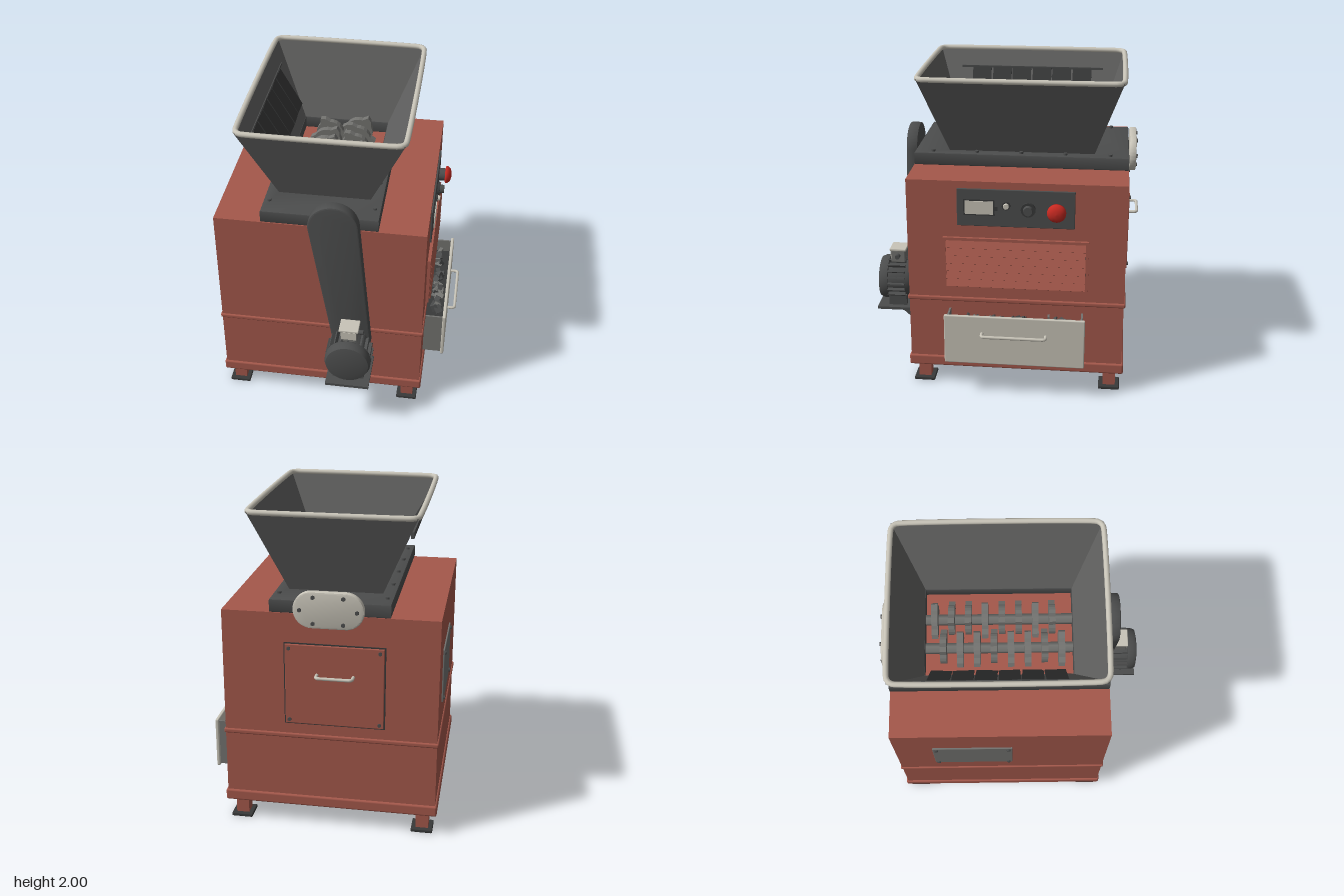
import * as THREE from 'three';
import { RoundedBoxGeometry } from 'three/addons/geometries/RoundedBoxGeometry.js';
import { toCreasedNormals } from 'three/addons/utils/BufferGeometryUtils.js';

const material = (name, color, side = THREE.FrontSide) => {
  const m = new THREE.MeshStandardMaterial({ color, side });
  m.name = name;
  return m;
};

export function createModel() {
  const red = material('painted red', 0xa4584b);
  const steel = material('hopper steel', 0x626261, THREE.DoubleSide);
  const dark = material('dark grey', 0x4c4d4d);
  const black = material('rubber black', 0x383939, THREE.DoubleSide);
  const mid = material('mid grey', 0x737370);
  const beige = material('pale metal', 0xc8c4b8);
  const signal = material('signal red', 0xc92a22);
  const model = new THREE.Group();
  const CX = -0.09, CZ = -0.105;

  const add = (name, geo, mat, x = 0, y = 0, z = 0) => {
    const mesh = new THREE.Mesh(geo, mat);
    mesh.name = name;
    mesh.position.set(x, y, z);
    model.add(mesh);
    return mesh;
  };
  // Box given by its limits, with optional rounded edges
  const box = (name, mat, x0, x1, y0, y1, z0, z1, round = 0) => {
    const s = [x1 - x0, y1 - y0, z1 - z0];
    const geo = round ? new RoundedBoxGeometry(...s, 2, round) : new THREE.BoxGeometry(...s);
    return add(name, geo, mat, (x0 + x1) / 2, (y0 + y1) / 2, (z0 + z1) / 2);
  };
  // Cylinder along an axis; r1 is the radius at the positive end
  const cyl = (name, mat, axis, r1, r0, h, x, y, z, sides = 24) => {
    const geo = new THREE.CylinderGeometry(r1, r0, h, sides);
    if (axis === 'x') geo.rotateZ(-Math.PI / 2);
    if (axis === 'z') geo.rotateX(Math.PI / 2);
    return add(name, geo, mat, x, y, z);
  };
  const extrude = (shape, depth, bevel = 0) => toCreasedNormals(new THREE.ExtrudeGeometry(shape, {
    depth: depth - 2 * bevel, bevelEnabled: bevel > 0, bevelThickness: bevel,
    bevelSize: bevel, bevelOffset: -bevel, bevelSegments: 2, curveSegments: 24,
  }).translate(0, 0, bevel), 0.6);
  // Outline around two circles
  const hull = (xa, ya, ra, xb, yb, rb) => {
    const d = Math.atan2(ya - yb, xa - xb);
    const a = Math.acos((rb - ra) / Math.hypot(xa - xb, ya - yb));
    return new THREE.Shape().absarc(xa, ya, ra, d - a, d + a, false)
      .absarc(xb, yb, rb, d + a, d - a + Math.PI * 2, false);
  };
  const handle = (name, mat, half, depth, r, x, y, z, turn) => {
    const c = Math.min(0.015, depth / 3);
    const pts = [[-half, 0], [-half, depth - c], [-half + c, depth], [half - c, depth], [half, depth - c], [half, 0]]
      .map(([u, v]) => new THREE.Vector3(u, 0, v));
    const curve = new THREE.CatmullRomCurve3(pts, false, 'catmullrom', 0.1);
    add(name, new THREE.TubeGeometry(curve, 48, r, 10), mat, x, y, z).rotation.y = turn;
  };

  // Cabinet, plinth and seam
  box('cabinet', red, -0.745, 0.565, 0.16, 1.4, -0.782, 0.575);
  box('plinth', red, -0.757, 0.577, 0.13, 0.2, -0.795, 0.587, 0.012);
  box('seamBand', red, -0.755, 0.575, 0.595, 0.625, -0.792, 0.585, 0.01);
  for (const x of [-0.665, 0.483]) for (const z of [-0.707, 0.497]) {
    box('leg', red, x - 0.04, x + 0.04, 0.02, 0.135, z - 0.04, z + 0.04);
    box('footPad', black, x - 0.067, x + 0.067, 0, 0.022, z - 0.067, z + 0.067, 0.006);
  }

  // Hopper flange with an opening
  const rect = (target, w, d) => target.moveTo(-w, -d).lineTo(w, -d).lineTo(w, d).lineTo(-w, d).lineTo(-w, -d);
  const flange = rect(new THREE.Shape(), 0.362, 0.678);
  flange.holes.push(rect(new THREE.Path(), 0.282, 0.458));
  add('hopperFlange', extrude(flange, 0.082, 0.008).rotateX(-Math.PI / 2), dark, CX, 1.4, CZ);
  for (const sx of [-1, 1]) for (let i = -2; i <= 2; i++) {
    cyl('flangeBolt', dark, 'y', 0.013, 0.013, 0.014, CX + sx * 0.325, 1.488, CZ + i * 0.28, 6);
  }

  // Hopper walls from two rectangular sections
  const corner = [[-1, 1], [1, 1], [1, -1], [-1, -1]];
  const walls = [];
  for (let i = 0; i < 4; i++) {
    const p = (k, w, d, y) => [corner[k % 4][0] * w, y, corner[k % 4][1] * d];
    const a = p(i, 0.282, 0.458, 1.47), b = p(i + 1, 0.282, 0.458, 1.47);
    const c = p(i + 1, 0.5, 0.63, 1.985), e = p(i, 0.5, 0.63, 1.985);
    walls.push(...a, ...b, ...c, ...a, ...c, ...e);
  }
  const hopperGeo = new THREE.BufferGeometry();
  hopperGeo.setAttribute('position', new THREE.Float32BufferAttribute(walls, 3));
  hopperGeo.computeVertexNormals();
  add('hopper', hopperGeo, steel, CX, 0, CZ);

  // Rolled rim
  const rim = [];
  corner.forEach(([sx, sz], i) => {
    for (let k = 0; k <= 4; k++) {
      const t = Math.PI / 2 - (i + 1) * Math.PI / 2 + Math.PI - k * Math.PI / 8;
      rim.push(new THREE.Vector3(sx * 0.45 + 0.05 * Math.cos(t), 0, sz * 0.58 + 0.05 * Math.sin(t)));
    }
  });
  add('hopperRim', new THREE.TubeGeometry(new THREE.CatmullRomCurve3(rim, true, 'centripetal'), 200, 0.017, 10, true),
    beige, CX, 1.983, CZ);

  // Splash curtain inside the hopper
  box('curtainBar', dark, -0.555, -0.535, 1.83, 1.87, -0.595, 0.375);
  for (let i = 0; i < 6; i++) {
    const flap = add('curtainFlap', new THREE.BoxGeometry(0.008, 0.29, 0.128), black, -0.464, 1.735, -0.452 + i * 0.137);
    flap.rotation.set(0, i % 2 ? 0.03 : -0.03, 0.52);
  }

  // Cutter shafts with hooked discs
  const disc = new THREE.Shape();
  for (let k = 0; k < 24; k++) {
    const r = k % 8 === 0 ? 0.126 : k % 8 === 7 ? 0.115 : 0.094, t = k * Math.PI / 12;
    disc[k ? 'lineTo' : 'moveTo'](r * Math.cos(t), r * Math.sin(t));
  }
  const discGeo = new THREE.ExtrudeGeometry(disc, { depth: 0.04, bevelEnabled: false });
  for (const [x, z0] of [[-0.185, -0.47], [0.005, -0.525]]) {
    cyl('cutterShaft', mid, 'z', 0.034, 0.034, 0.92, x, 1.44, CZ, 6);
    for (let i = 0; i < 8; i++) {
      const left = x < 0 ? i % 3 !== 0 : i % 3 === 0;
      add('cutterDisc', discGeo, mid, x, 1.44, z0 + i * 0.1045).rotation.z = left ? Math.PI : 0;
    }
  }

  // Belt guard
  add('beltGuard', extrude(hull(0.005, 1.445, 0.155, 0.12, 0.55, 0.122), 0.072, 0.01), dark, 0, 0, 0.574);

  // Motor with cooling fins, end bell and terminal box
  const MX = 0.12, MY = 0.545;
  const bell = [[0.06, 0.64], [0.115, 0.64], [0.125, 0.665], [0.125, 0.79], [0.146, 0.79], [0.146, 0.825], [0.135, 0.848], [0.1, 0.856], [0, 0.858]]
    .map(([r, z]) => new THREE.Vector2(r, z));
  add('motor', toCreasedNormals(new THREE.LatheGeometry(bell, 40).rotateX(Math.PI / 2).scale(1, 1, 1), 0.7), dark, MX, MY, 0);
  for (let i = 0; i < 20; i++) {
    const t = i * Math.PI / 10;
    const fin = add('coolingFin', new THREE.BoxGeometry(0.03, 0.01, 0.12), dark, MX + 0.134 * Math.cos(t), MY + 0.134 * Math.sin(t), 0.735);
    fin.rotation.z = t;
  }
  box('terminalBox', mid, 0.065, 0.175, 0.67, 0.755, 0.68, 0.775, 0.006);
  box('terminalLid', beige, 0.058, 0.182, 0.753, 0.77, 0.672, 0.783, 0.005);
  box('terminalFace', beige, 0.072, 0.168, 0.695, 0.75, 0.773, 0.779);
  cyl('cableGland', dark, 'x', 0.016, 0.016, 0.035, 0.19, 0.72, 0.727, 12);

  // Motor shelf and gussets
  box('motorShelf', dark, -0.02, 0.26, 0.36, 0.378, 0.57, 0.862);
  const gusset = new THREE.Shape().moveTo(0, 0).lineTo(0, -0.12).lineTo(-0.13, 0).lineTo(0, 0);
  for (const x of [0.005, 0.23]) {
    box('motorFoot', dark, x < 0.1 ? 0.02 : 0.18, x < 0.1 ? 0.06 : 0.22, 0.375, 0.45, 0.67, 0.79);
    add('shelfGusset', new THREE.ExtrudeGeometry(gusset, { depth: 0.012, bevelEnabled: false }).rotateY(Math.PI / 2),
      dark, x - 0.006, 0.362, 0.573);
  }

  // Control panel
  box('controlPanel', dark, 0.56, 0.576, 1.115, 1.355, -0.465, 0.26, 0.004);
  box('meterFrame', black, 0.57, 0.582, 1.188, 1.29, 0.025, 0.218);
  box('meterFace', beige, 0.58, 0.588, 1.197, 1.281, 0.035, 0.208);
  box('smallSwitch', black, 0.57, 0.588, 1.222, 1.248, 0.008, 0.024);
  cyl('lampRing', black, 'x', 0.026, 0.026, 0.016, 0.58, 1.255, -0.045);
  cyl('lamp', beige, 'x', 0.016, 0.021, 0.03, 0.588, 1.255, -0.045);
  cyl('knobCollar', black, 'x', 0.045, 0.045, 0.02, 0.583, 1.235, -0.18);
  cyl('knob', dark, 'x', 0.027, 0.032, 0.04, 0.6, 1.235, -0.18);
  cyl('stopCollar', dark, 'x', 0.042, 0.042, 0.05, 0.595, 1.235, -0.355);
  const cap = [[0.03, 0.612], [0.058, 0.618], [0.058, 0.63], [0.045, 0.648], [0.022, 0.656], [0, 0.658]]
    .map(([r, x]) => new THREE.Vector2(r, x));
  add('stopButton', new THREE.LatheGeometry(cap, 28).rotateZ(-Math.PI / 2), signal, 0, 1.235, -0.355);

  // Louvred vent
  box('ventBacking', black, 0.56, 0.569, 0.7, 1.025, -0.545, 0.34);
  for (const y of [0.69, 1.017]) box('ventFrame', red, 0.56, 0.585, y, y + 0.018, -0.555, 0.35);
  for (const z of [-0.555, 0.332]) box('ventFrame', red, 0.56, 0.585, 0.69, 1.035, z, z + 0.018);
  for (let i = 0; i < 6; i++) {
    add('louvre', new THREE.BoxGeometry(0.007, 0.055, 0.868), red, 0.582, 0.735 + i * 0.052, -0.1025).rotation.z = 0.5;
  }

  // Open collection drawer filled with scrap
  box('drawerFloor', mid, 0.56, 0.69, 0.24, 0.252, -0.53, 0.32);
  for (const z of [-0.53, 0.308]) box('drawerSide', mid, 0.56, 0.69, 0.24, 0.545, z, z + 0.012);
  box('drawerFront', beige, 0.685, 0.707, 0.23, 0.56, -0.547, 0.335, 0.007);
  handle('drawerHandle', beige, 0.2, 0.05, 0.01, 0.705, 0.445, -0.105, Math.PI / 2);
  box('scrapHeap', black, 0.566, 0.684, 0.25, 0.49, -0.47, 0.25);
  let seed = 7;
  const rnd = () => (seed = (seed * 16807) % 2147483647) / 2147483647;
  for (let i = 0; i < 40; i++) {
    const chip = add('scrapChip', new THREE.BoxGeometry(0.03 + rnd() * 0.03, 0.012, 0.02 + rnd() * 0.03),
      i % 3 ? dark : mid, 0.6 + rnd() * 0.05, 0.49 + rnd() * 0.025, -0.44 + rnd() * 0.66);
    chip.rotation.set(rnd(), rnd() * 3, rnd());
  }

  // Rear bearing cover
  add('bearingCover', extrude(hull(0.1, 0, 0.112, -0.1, 0, 0.112), 0.045, 0.01), beige, CX, 1.44, -0.83);
  for (const [x, y] of [[-0.17, 0], [0.17, 0], [-0.09, 0.08], [0.09, 0.08], [-0.09, -0.08], [0.09, -0.08]]) {
    cyl('coverBolt', dark, 'z', 0.013, 0.013, 0.012, CX + x, 1.44 + y, -0.833, 6);
  }

  // Rear service door
  box('doorGap', black, -0.428, 0.188, 0.692, 1.218, -0.786, -0.775);
  box('serviceDoor', red, -0.42, 0.18, 0.7, 1.21, -0.798, -0.775, 0.004);
  handle('doorHandle', beige, 0.11, 0.055, 0.01, -0.125, 1.025, -0.797, Math.PI);
  for (const x of [-0.395, 0.155]) for (const y of [0.725, 1.185]) {
    cyl('doorBolt', dark, 'z', 0.012, 0.012, 0.012, x, y, -0.801, 6);
  }

  // Side inspection plate
  box('inspectionPlate', mid, -0.755, -0.74, 0.79, 1.135, -0.54, -0.03, 0.004);
  for (const z of [-0.515, -0.055]) for (const y of [0.815, 1.11]) {
    cyl('plateBolt', dark, 'x', 0.012, 0.012, 0.012, -0.758, y, z, 6);
  }
  return model;
}
